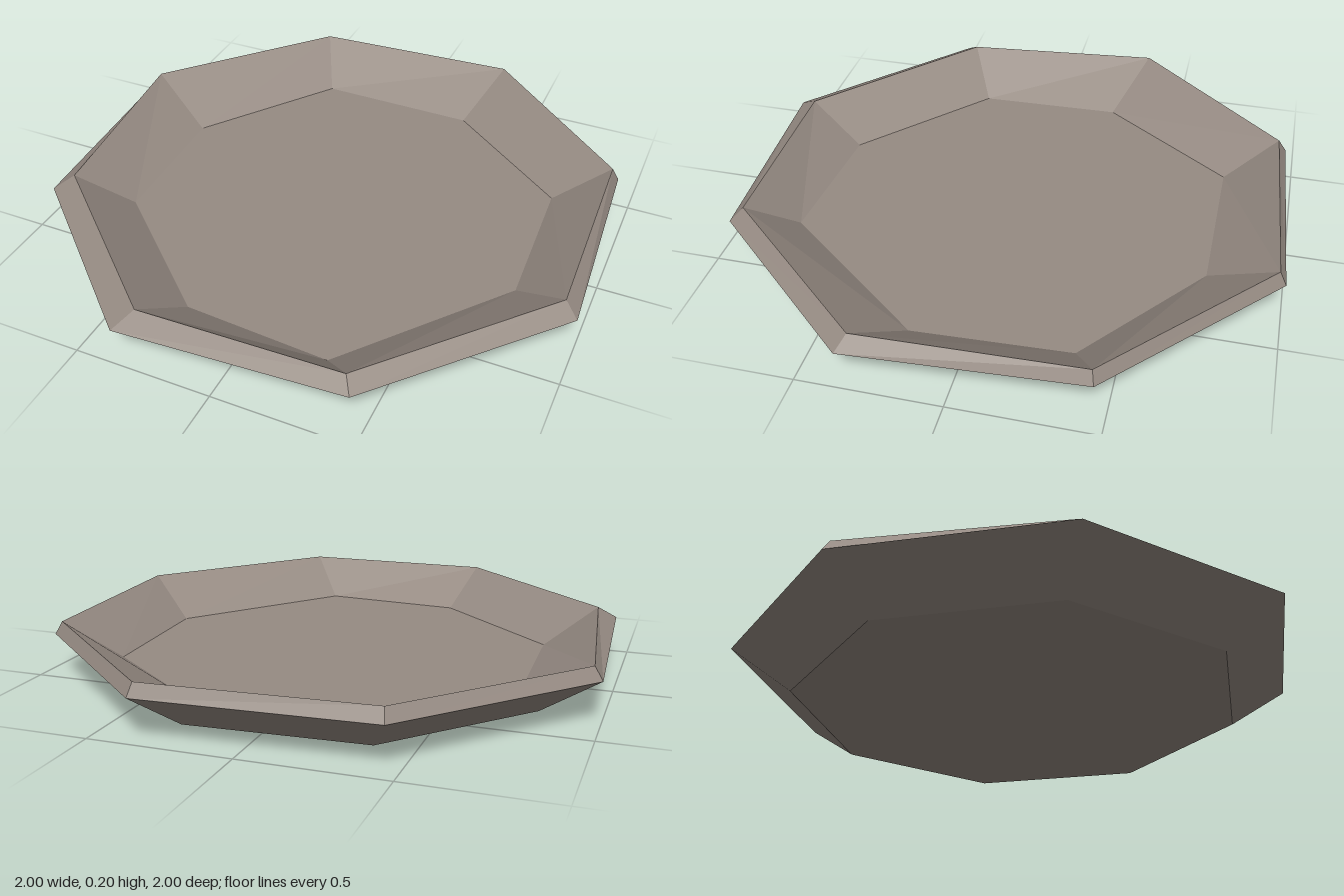
import * as THREE from 'three';

// Eight-cornered loops as [x, z], running from the back left corner round the plate
const outerLoop = [[-0.46, -0.96], [0.35, -1], [0.95, -0.46], [1, 0.35], [0.46, 0.95], [-0.35, 1], [-0.955, 0.45], [-1, -0.36]];
const rimLoop = [[-0.45, -0.93], [0.34, -0.975], [0.925, -0.45], [0.95, 0.32], [0.43, 0.905], [-0.3, 0.925], [-0.89, 0.4], [-0.97, -0.35]];
const floorLoop = [[-0.355, -0.74], [0.25, -0.735], [0.73, -0.365], [0.755, 0.19], [0.3, 0.755], [-0.235, 0.72], [-0.705, 0.3], [-0.72, -0.24]];

const ring = (loop, y, scale = 1) => loop.map(([x, z]) => [x * scale, y, z * scale]);

function facets(triangles) {
  const geometry = new THREE.BufferGeometry();
  geometry.setAttribute('position', new THREE.Float32BufferAttribute(triangles.flat(2), 3));
  geometry.computeVertexNormals();
  return geometry;
}

// Band of quads joining two rings
function band(a, b) {
  return facets(a.flatMap((p, i) => {
    const j = (i + 1) % a.length;
    return [[p, b[i], a[j]], [a[j], b[i], b[j]]];
  }));
}

// Flat fan closing a ring, facing up or down
function cap(r, up) {
  const centre = [0, r[0][1], 0];
  return facets(r.map((p, i) => {
    const q = r[(i + 1) % r.length];
    return up ? [centre, q, p] : [centre, p, q];
  }));
}

export function createModel() {
  const group = new THREE.Group();
  group.name = 'plate';
  const stoneware = new THREE.MeshStandardMaterial({ color: 0x968b83, flatShading: true });
  stoneware.name = 'stoneware';

  const base = ring(outerLoop, 0.003, 0.79);
  const outer = ring(outerLoop, 0.153);
  const rim = ring(rimLoop, 0.2);
  const floor = ring(floorLoop, 0.06);

  const parts = {
    underside: cap(base, false),
    outerWall: band(base, outer),
    rimBevel: band(outer, rim),
    innerWall: band(rim, floor),
    plateFloor: cap(floor, true),
  };
  for (const [name, geometry] of Object.entries(parts)) {
    const mesh = new THREE.Mesh(geometry, stoneware);
    mesh.name = name;
    group.add(mesh);
  }
  return group;
}
